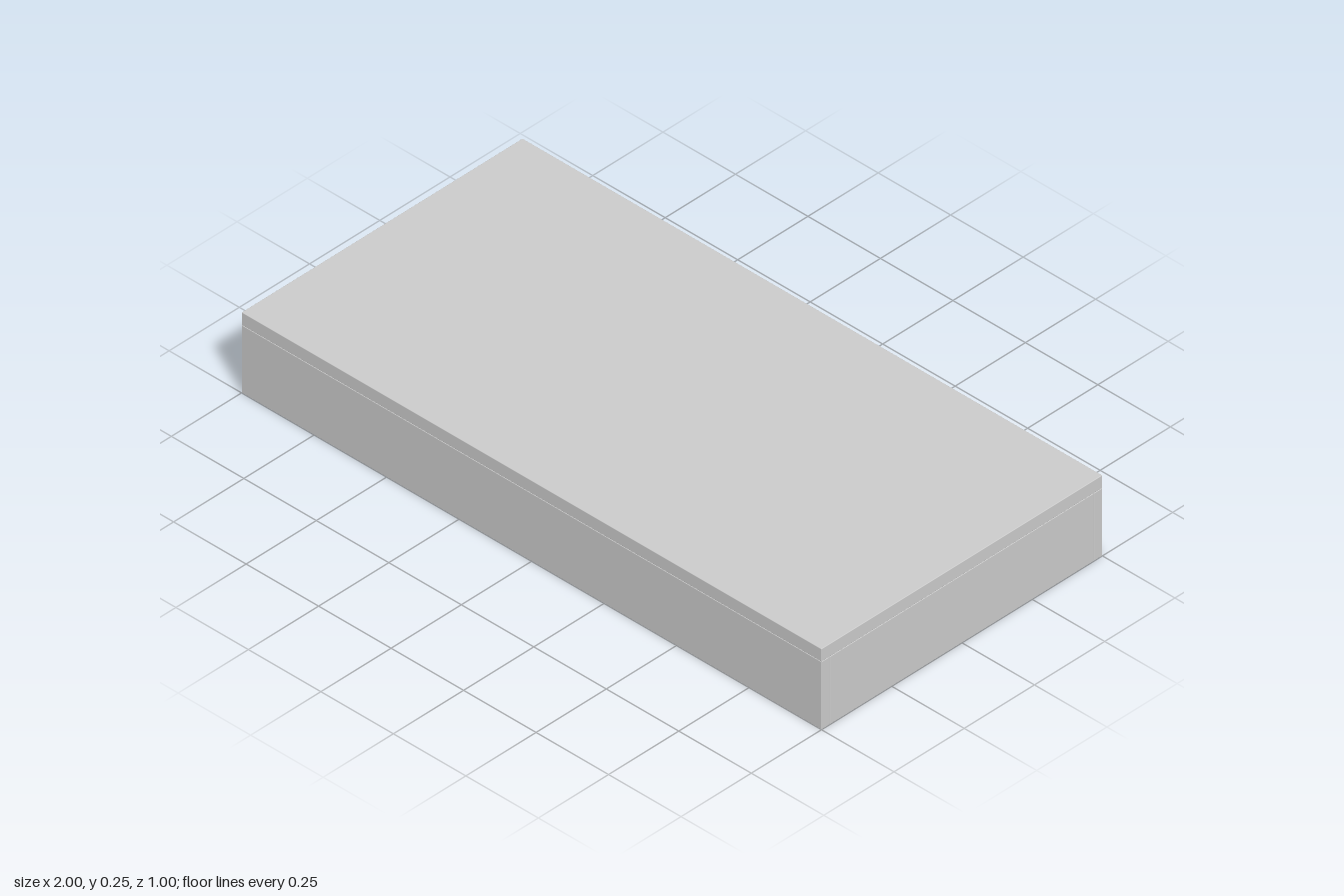
import * as THREE from 'three';
import { RoundedBoxGeometry } from 'three/addons/geometries/RoundedBoxGeometry.js';

const LENGTH = 2, DEPTH = 1, HEIGHT = 0.25;
const DECK = 0.04, BOARD = 0.03, EASE = 0.002;

export function createModel() {
  const group = new THREE.Group();
  group.name = 'stagePlatform';
  const material = new THREE.MeshStandardMaterial({ color: 0xcccccc });

  // Board with slightly eased edges, placed by its centre
  function board(name, size, position) {
    const mesh = new THREE.Mesh(new RoundedBoxGeometry(...size, 2, EASE), material);
    mesh.name = name;
    mesh.position.set(...position);
    group.add(mesh);
  }

  const frameHeight = HEIGHT - DECK;
  const frameY = frameHeight / 2;
  const innerDepth = DEPTH - 2 * BOARD;

  // Deck sheet
  board('deck', [LENGTH, DECK, DEPTH], [0, HEIGHT - DECK / 2, 0]);

  // Long rails along the front and back, short end boards between them
  for (const side of [-1, 1]) {
    board(side > 0 ? 'frontRail' : 'backRail',
      [LENGTH, frameHeight, BOARD], [0, frameY, side * (DEPTH - BOARD) / 2]);
    board(side > 0 ? 'leftEndBoard' : 'rightEndBoard',
      [BOARD, frameHeight, innerDepth], [side * (LENGTH - BOARD) / 2, frameY, 0]);
  }

  // Double-width joist across the middle
  board('centreJoist', [2 * BOARD, frameHeight, innerDepth], [0, frameY, 0]);

  return group;
}
